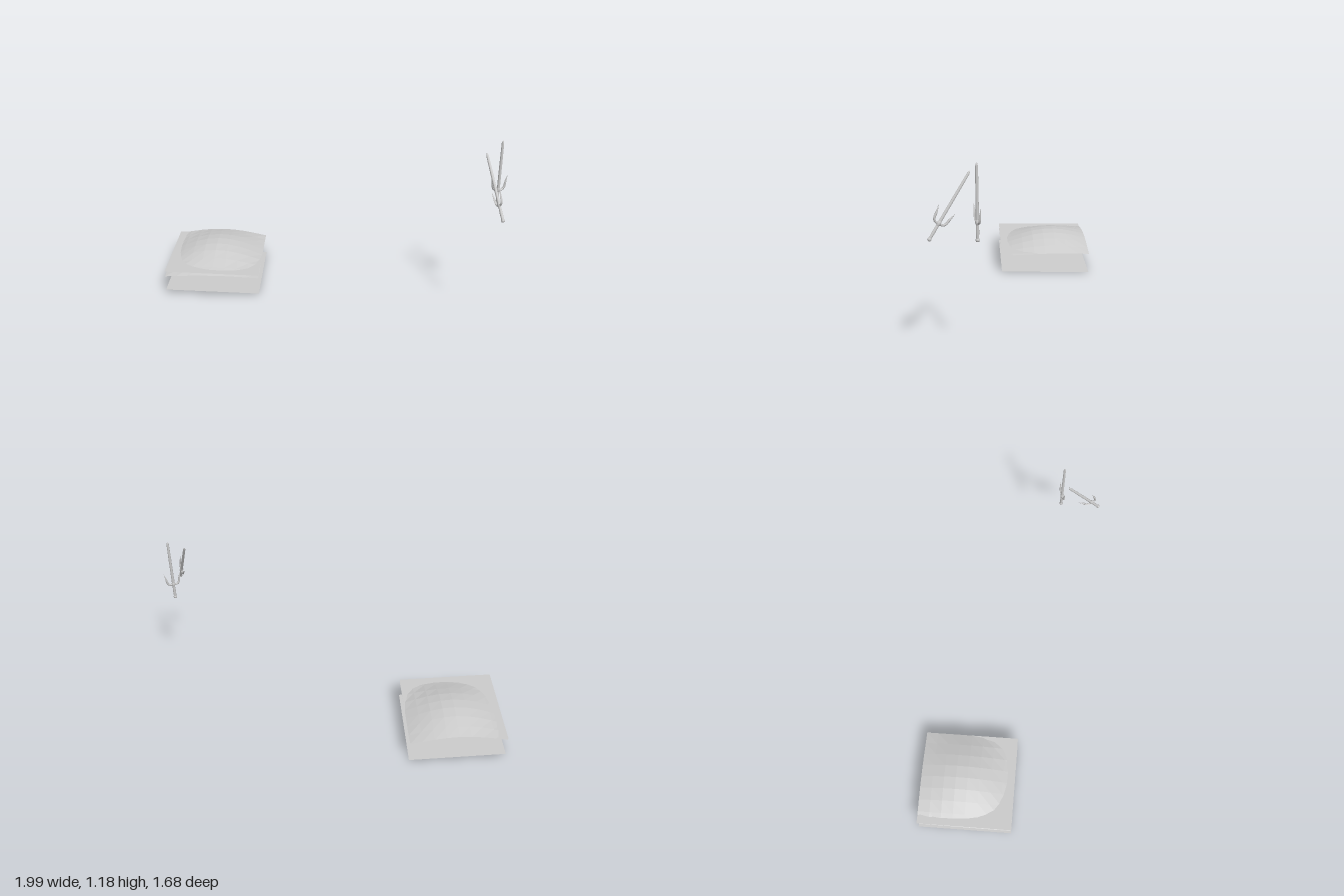
import * as THREE from 'three';

const grey = new THREE.MeshStandardMaterial({ color: 0xcccccc });
const sheetGrey = new THREE.MeshStandardMaterial({ color: 0xcccccc, side: THREE.DoubleSide, flatShading: true });
const V = (x, y, z = 0) => new THREE.Vector3(x, y, z);

// Turned square patch; height(u, v) with u to the right and v to the front
function sheet(name, segments, height) {
  const geo = new THREE.PlaneGeometry(1, 1, segments, segments);
  const pos = geo.attributes.position;
  for (let i = 0; i < pos.count; i++) {
    const u = pos.getX(i) + 0.5, v = 0.5 - pos.getY(i);
    pos.setXYZ(i, -0.8 + 0.59 * u - 0.2 * v, height(u, v), -0.84 + 0.2 * u + 0.59 * v);
  }
  geo.computeVertexNormals();
  const mesh = new THREE.Mesh(geo, sheetGrey);
  mesh.name = name;
  return mesh;
}

// Height blended from the four corners: back left, back right, front left, front right
const blend = (a, b, d, c) => (u, v) => (a * (1 - u) + b * u) * (1 - v) + (d * (1 - u) + c * u) * v;

// Curved side prong, tapered to a point; side is +1 or -1
function prong(side) {
  const curve = new THREE.CatmullRomCurve3([
    V(0, 0.107), V(0.02 * side, 0.104), V(0.036 * side, 0.118),
    V(0.042 * side, 0.148), V(0.053 * side, 0.192),
  ]);
  const rings = 14, sides = 6;
  const geo = new THREE.TubeGeometry(curve, rings, 0.0065, sides);
  const pos = geo.attributes.position;
  for (let i = 0; i < pos.count; i++) {
    const t = Math.floor(i / (sides + 1)) / rings;
    const centre = curve.getPointAt(t);
    const p = V(0, 0).fromBufferAttribute(pos, i).sub(centre);
    p.multiplyScalar(t < 0.6 ? 1 : 1 - 0.95 * (t - 0.6) / 0.4).add(centre);
    pos.setXYZ(i, p.x, p.y, p.z);
  }
  geo.computeVertexNormals();
  const mesh = new THREE.Mesh(geo, grey);
  mesh.name = side > 0 ? 'leftProng' : 'rightProng';
  return mesh;
}

// Three-pronged dagger standing on its pommel, 0.42 tall
function dagger(name) {
  const group = new THREE.Group();
  group.name = name;
  const turned = (part, profile) => {
    const geo = new THREE.LatheGeometry(profile.map(([r, y]) => new THREE.Vector2(r, y)), 8);
    const mesh = new THREE.Mesh(geo, grey);
    mesh.name = part;
    group.add(mesh);
  };
  turned('pommel', [[0, 0], [0.009, 0.002], [0.012, 0.01], [0.009, 0.019], [0, 0.021]]);
  turned('grip', [[0.008, 0.016], [0.0095, 0.055], [0.008, 0.095]]);
  turned('collar', [[0.008, 0.092], [0.012, 0.1], [0.012, 0.112], [0.008, 0.122]]);
  turned('blade', [[0.009, 0.118], [0.0085, 0.3], [0.0075, 0.4], [0.004, 0.414], [0, 0.42]]);
  group.add(prong(1), prong(-1));
  return group;
}

export function createModel() {
  const model = new THREE.Group();

  // Two flat tilted sheets
  model.add(sheet('lowerSheet', 1, blend(0.03, 0.003, 0.042, 0.018)));
  model.add(sheet('upperSheet', 1, blend(0.167, 0.142, 0.179, 0.155)));

  // Faceted mound pushing up through the upper sheet, arched open at the back
  const base = blend(0.154, 0.141, 0.143, 0.135);
  const ridge = new THREE.SplineCurve([
    [0, 0.044], [0.2, 0.073], [0.42, 0.086], [0.6, 0.077], [0.8, 0.046], [1, 0.012],
  ].map(([x, y]) => new THREE.Vector2(x, y)));
  model.add(sheet('mound', 8, (u, v) =>
    base(u, v) + ridge.getPoint(v).y * Math.sin(Math.PI * u) + 0.01 * Math.sin(Math.PI * v) * u));

  // Upright dagger
  const upright = dagger('uprightDagger');
  upright.position.set(0.941, 0.765, 0.595);
  model.add(upright);

  // Dagger leaning backwards, prongs in the leaning plane
  const leaning = dagger('leaningDagger');
  const axis = V(-0.015, 0.345, -0.235).normalize();
  const across = V(0, 0.563, 0.826);
  const normal = across.clone().cross(axis).normalize();
  across.crossVectors(axis, normal);
  leaning.quaternion.setFromRotationMatrix(new THREE.Matrix4().makeBasis(across, axis, normal));
  leaning.position.set(0.855, 0.772, 0.832);
  model.add(leaning);

  return model;
}
